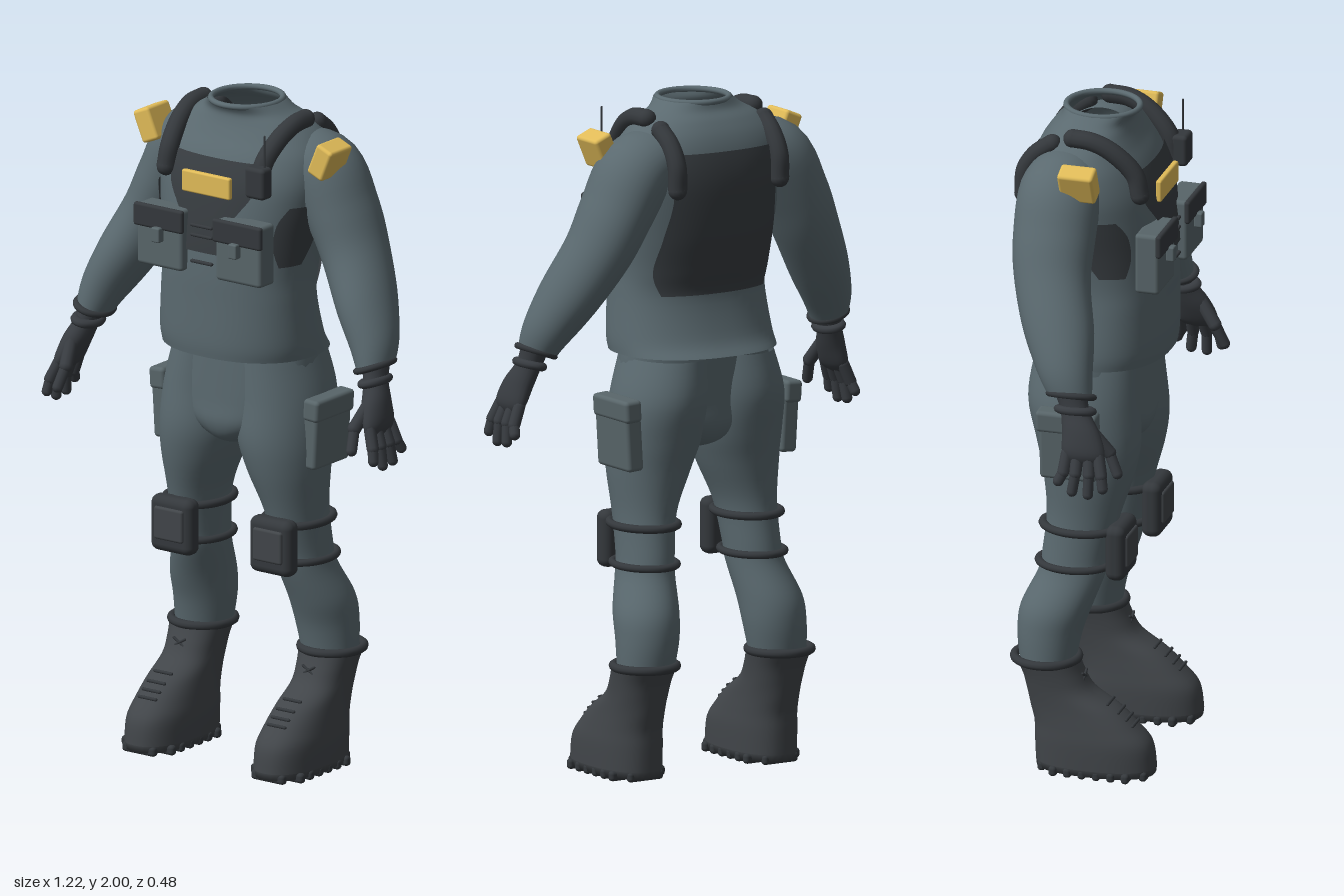
import * as THREE from 'three';
import { RoundedBoxGeometry } from 'three/addons/geometries/RoundedBoxGeometry.js';

const paint = (name, color, side = THREE.FrontSide) => {
  const m = new THREE.MeshStandardMaterial({ color, side });
  m.name = name;
  return m;
};

// Catmull-Rom resampling of section rows
function smooth(rows, k = 5) {
  const out = [], n = rows.length - 1;
  for (let i = 0; i < n; i++) for (let s = 0; s < k; s++) {
    const t = s / k, a = rows[Math.max(i - 1, 0)], b = rows[i], c = rows[i + 1], d = rows[Math.min(i + 2, n)];
    out.push(b.map((v, q) => {
      const cubic = 3 * (v - c[q]) + d[q] - a[q];
      const square = 2 * a[q] - 5 * v + 4 * c[q] - d[q];
      return v + 0.5 * t * (c[q] - a[q] + t * (square + t * cubic));
    }));
  }
  out.push(rows[n]);
  return out;
}

const pw = (v, n) => Math.sign(v) * Math.pow(Math.abs(v), 2 / n);

function surface(pos, idx) {
  const g = new THREE.BufferGeometry();
  g.setAttribute('position', new THREE.Float32BufferAttribute(pos, 3));
  g.setIndex(idx);
  g.computeVertexNormals();
  return g;
}

// Skin over rows [x, y, z, rx, rz]; rings are level, or follow the path in the xy plane
function loft(rows, { n = 2, level = true, seg = 36 } = {}) {
  const pos = [], idx = [], last = rows.length - 1, sense = Math.sign(rows[last][1] - rows[0][1]);
  rows.forEach(([x, y, z, rx, rz], i) => {
    const p = rows[Math.max(i - 1, 0)], q = rows[Math.min(i + 1, last)];
    const dx = q[0] - p[0], dy = q[1] - p[1], l = Math.hypot(dx, dy) || 1;
    const tx = level ? 0 : dx / l, ty = level ? sense : dy / l;
    for (let j = 0; j < seg; j++) {
      const a = j / seg * Math.PI * 2, c = pw(Math.cos(a), n) * rx;
      pos.push(x + ty * c, y - tx * c, z + pw(Math.sin(a), n) * rz);
      if (i < last) {
        const A = i * seg + j, B = i * seg + (j + 1) % seg, C = A + seg, D = B + seg;
        idx.push(A, C, B, B, C, D);
      }
    }
  });
  return surface(pos, idx);
}

const TN = 2.3;
const torsoRows = smooth([ // y, back z, front z, half width
  [1.25, -0.225, 0.185, 0.25], [1.3, -0.19, 0.19, 0.25], [1.42, -0.16, 0.19, 0.24], [1.5, -0.175, 0.19, 0.237],
  [1.6, -0.2, 0.185, 0.248], [1.7, -0.215, 0.172, 0.265], [1.78, -0.22, 0.155, 0.275], [1.85, -0.212, 0.125, 0.265],
  [1.9, -0.195, 0.095, 0.235], [1.94, -0.168, 0.075, 0.19], [1.967, -0.142, 0.07, 0.142], [1.992, -0.133, 0.085, 0.112],
].map(([y, b, f, w]) => [0, y, (b + f) / 2, w, (f - b) / 2]));

// Thin panel lying on the torso; rows [y, half angle] about a centre angle
function torsoPanel(rows, centre, off = 0.008, seg = 28) {
  const pos = [], idx = [], R = smooth(rows, 6);
  R.forEach(([y, h], i) => {
    const k = Math.max(torsoRows.findIndex(r => r[1] >= y), 1);
    const a = torsoRows[k - 1], b = torsoRows[k], t = (y - a[1]) / (b[1] - a[1]);
    const [, , z, rx, rz] = a.map((v, q) => v + (b[q] - v) * t);
    for (let j = 0; j <= seg; j++) {
      const g = centre + h * (2 * j / seg - 1);
      pos.push(pw(Math.cos(g), TN) * (rx + off), y, z + pw(Math.sin(g), TN) * (rz + off));
      if (i < R.length - 1 && j < seg) {
        const A = i * (seg + 1) + j, C = A + seg + 1;
        idx.push(A, C, A + 1, A + 1, C, C + 1);
      }
    }
  });
  return surface(pos, idx);
}

export function createModel() {
  const root = new THREE.Group();
  const cloth = paint('slate cloth', 0x5a696f, THREE.DoubleSide);
  const pouchMat = paint('pouch fabric', 0x586569);
  const web = paint('dark webbing', 0x34383c);
  const panelMat = paint('harness panel', 0x373c40, THREE.DoubleSide);
  const leather = paint('boot leather', 0x414549);
  const glove = paint('glove', 0x383c41);
  const yellow = paint('yellow patch', 0xe0bb58);

  const add = (name, geo, mat) => {
    const m = new THREE.Mesh(geo, mat);
    m.name = name;
    root.add(m);
    return m;
  };
  const box = (name, mat, x, y, z, w, h, d, r = 0.012) => {
    const m = add(name, new RoundedBoxGeometry(w, h, d, 3, Math.min(r, w / 2.1, h / 2.1, d / 2.1)), mat);
    m.position.set(x, y, z);
    return m;
  };
  const ring = (name, mat, x, y, z, rx, rz, tube) => {
    const m = add(name, new THREE.TorusGeometry(rx, tube, 10, 40).rotateX(Math.PI / 2).scale(1, 1, rz / rx), mat);
    m.position.set(x, y, z);
    return m;
  };
  const rod = (name, mat, a, b, r) => {
    const A = new THREE.Vector3(...a), B = new THREE.Vector3(...b), d = B.clone().sub(A);
    const m = add(name, new THREE.CapsuleGeometry(r, d.length(), 5, 10), mat);
    m.position.copy(A).add(B).multiplyScalar(0.5);
    m.quaternion.setFromUnitVectors(new THREE.Vector3(0, 1, 0), d.normalize());
  };

  // Jacket body, collar and hips closed at the waist
  add('jacket', loft(torsoRows, { n: TN, seg: 56 }), cloth);
  ring('collar', cloth, 0, 1.991, -0.024, 0.104, 0.108, 0.009);
  add('hips', loft([[0, 1.28, -0.03, 0.001, 0.001], ...smooth([[0, 1.28, -0.03, 0.232, 0.15], [0, 1.2, -0.025, 0.238, 0.148],
    [0, 1.1, -0.018, 0.232, 0.144], [0, 1.03, -0.014, 0.17, 0.142], [0, 0.98, -0.01, 0.07, 0.11], [0, 0.955, -0.01, 0.005, 0.04]])], { n: 2.2 }), cloth);

  // Harness panels
  add('chestPanel', torsoPanel([[1.57, 0.25], [1.66, 0.27], [1.7, 0.36], [1.76, 0.5], [1.845, 0.52]], Math.PI / 2), panelMat);
  add('backPanel', torsoPanel([[1.43, 0.75], [1.5, 0.92], [1.6, 0.8], [1.72, 0.64], [1.86, 0.62]], -Math.PI / 2, 0.009), panelMat);
  for (const y of [1.54, 1.62, 1.65]) box('chestLacing', web, 0, y, 0.196, 0.08, 0.01, 0.012);

  // Name plate, radio and aerial
  box('namePlate', yellow, 0, 1.772, 0.17, 0.175, 0.066, 0.018, 0.006);
  box('radio', web, 0.18, 1.808, 0.16, 0.07, 0.095, 0.05);
  rod('aerial', web, [0.2, 1.84, 0.157], [0.2, 1.95, 0.157], 0.003);

  for (const s of [1, -1]) {
    const X = r => r.map(v => [v[0] * s, ...v.slice(1)]);

    // Sleeve and cuff
    add('sleeve', loft(smooth(X([[0.13, 1.85, -0.07, 0.07, 0.1], [0.235, 1.805, -0.08, 0.108, 0.122], [0.305, 1.69, -0.08, 0.103, 0.122],
      [0.36, 1.58, -0.07, 0.095, 0.115], [0.432, 1.45, -0.03, 0.085, 0.108], [0.487, 1.345, 0.005, 0.07, 0.085], [0.51, 1.275, 0.03, 0.052, 0.066]])),
    { level: false }), cloth);
    ring('wristBand', web, 0.51 * s, 1.28, 0.034, 0.05, 0.064, 0.01).rotation.z = 0.35 * s;
    ring('gloveCuff', glove, 0.522 * s, 1.24, 0.05, 0.032, 0.046, 0.013).rotation.z = 0.25 * s;

    // Glove
    add('gloveHand', loft(smooth(X([[0.512, 1.3, 0.03, 0.04, 0.05], [0.524, 1.24, 0.05, 0.034, 0.044], [0.545, 1.18, 0.075, 0.036, 0.058],
      [0.565, 1.12, 0.088, 0.028, 0.064], [0.573, 1.09, 0.09, 0.004, 0.03]])), { level: false, seg: 20 }), glove);
    [[0.038, 0.02, 1.03], [0.07, 0.062, 1.002], [0.104, 0.11, 0.998], [0.134, 0.155, 1.02]].forEach(([z0, z1, y]) => {
      const mid = [0.587 * s, 1.068, (z0 + z1) / 2 + 0.004];
      rod('finger', glove, [0.566 * s, 1.12, z0], mid, 0.018);
      rod('finger', glove, mid, [0.594 * s, y + 0.012, z1], 0.016);
    });
    rod('thumb', glove, [0.54 * s, 1.18, 0.11], [0.525 * s, 1.12, 0.155], 0.02);
    rod('thumb', glove, [0.525 * s, 1.12, 0.155], [0.535 * s, 1.06, 0.182], 0.016);

    // Shoulder strap in a front and a back length
    [[[0.172, 1.79, 0.14], [0.17, 1.85, 0.124], [0.18, 1.915, 0.062], [0.186, 1.945, 0.0], [0.186, 1.95, -0.06]],
      [[0.18, 1.925, -0.125], [0.178, 1.885, -0.175], [0.178, 1.83, -0.208], [0.178, 1.76, -0.212]]].forEach(points => {
      const path = new THREE.CatmullRomCurve3(points.map(p => new THREE.Vector3(p[0] * s, p[1], p[2])));
      add('shoulderStrap', new THREE.TubeGeometry(path, 28, 0.028, 12), web);
      for (const t of [0, 1]) add('strapEnd', new THREE.SphereGeometry(0.028, 14, 10), web).position.copy(path.getPoint(t));
    });

    // Yellow shoulder patch
    box('shoulderPatch', yellow, 0.317 * s, 1.864, -0.003, 0.06, 0.1, 0.108, 0.01).rotation.z = -0.4 * s;

    // Flank panel
    add('flankPanel', torsoPanel([[1.54, 0.2], [1.6, 0.33], [1.67, 0.34], [1.72, 0.2]], s > 0 ? 0.34 : Math.PI - 0.34, 0.005), panelMat);

    // Chest pouch with front flap and buckle
    box('chestPouch', pouchMat, 0.143 * s, 1.595, 0.176, 0.165, 0.185, 0.074);
    box('pouchFlap', web, 0.143 * s, 1.655, 0.213, 0.178, 0.07, 0.018, 0.008);
    box('pouchBuckle', pouchMat, 0.14 * s, 1.607, 0.225, 0.03, 0.045, 0.026, 0.005);

    // Trouser leg
    add('trouserLeg', loft(smooth(X([[0.115, 1.24, -0.04, 0.118, 0.155], [0.132, 1.12, -0.043, 0.135, 0.165], [0.14, 1.0, -0.025, 0.136, 0.155],
      [0.155, 0.9, -0.02, 0.118, 0.135], [0.175, 0.78, -0.03, 0.088, 0.11], [0.185, 0.66, -0.05, 0.08, 0.1], [0.192, 0.6, -0.06, 0.082, 0.1],
      [0.215, 0.5, -0.1, 0.094, 0.105], [0.222, 0.42, -0.118, 0.093, 0.096], [0.23, 0.33, -0.122, 0.085, 0.082]]))), cloth);

    // Thigh pouch
    box('thighPouch', pouchMat, 0.272 * s, 1.02, -0.045, 0.055, 0.2, 0.17).rotation.z = -0.06 * s;
    box('thighFlap', pouchMat, 0.28 * s, 1.1, -0.047, 0.056, 0.066, 0.184).rotation.z = -0.06 * s;

    // Knee pad and its straps
    box('kneePad', web, 0.18 * s, 0.685, 0.085, 0.152, 0.17, 0.06, 0.025);
    box('kneePadInset', leather, 0.18 * s, 0.69, 0.113, 0.105, 0.1, 0.018, 0.008);
    ring('kneeStrap', web, 0.18 * s, 0.745, -0.035, 0.092, 0.113, 0.012);
    ring('kneeStrap', web, 0.188 * s, 0.63, -0.052, 0.088, 0.107, 0.011);

    // Boot with cuff, sole, lugs and laces
    const bx = 0.235 * s;
    add('boot', loft(smooth([[bx, 0.35, -0.125, 0.092, 0.092], [bx, 0.3, -0.103, 0.084, 0.09], [bx, 0.25, -0.08, 0.08, 0.1], [bx, 0.2, -0.036, 0.082, 0.134],
      [bx, 0.15, -0.002, 0.088, 0.156], [bx, 0.1, 0.02, 0.094, 0.176], [bx, 0.03, 0.027, 0.095, 0.18]]), { n: 2.4 }), leather);
    ring('bootCuff', web, bx, 0.342, -0.125, 0.092, 0.094, 0.013);
    add('sole', loft([[bx, 0.03, 0.027, 0.095, 0.18], [bx, 0.01, 0.027, 0.092, 0.178], [bx, 0.01, 0.027, 0.001, 0.001]], { n: 2.4 }), leather);
    for (let i = 0; i < 8; i++) {
      const width = Math.abs(i - 3.5) > 3 ? 0.12 : 0.19;
      box('soleLug', web, bx, 0.015, -0.125 + i * 0.044, width, 0.03, 0.024, 0.01);
    }
    [[0.16, 0.146], [0.178, 0.127], [0.198, 0.103], [0.22, 0.07]].forEach(([y, z]) =>
      rod('lace', web, [bx - 0.03, y, z], [bx + 0.03, y, z], 0.005));
    for (const k of [1, -1]) rod('laceCross', web, [bx - 0.02, 0.292 - 0.012 * k, -0.009], [bx + 0.02, 0.292 + 0.012 * k, -0.009], 0.004);
  }
  return root;
}
